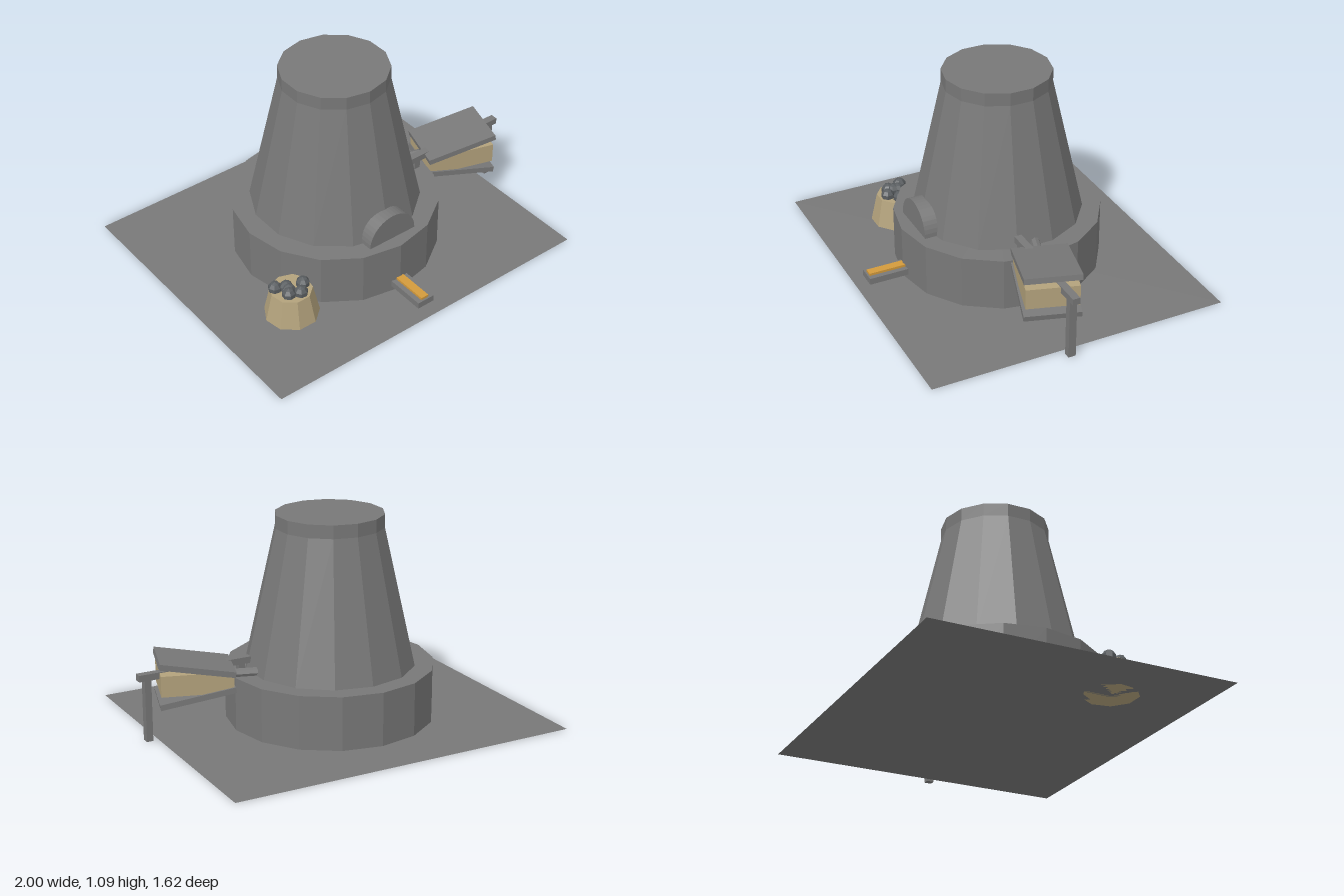
import * as THREE from 'three';

const mat = (name, color, side = THREE.FrontSide) =>
  Object.assign(new THREE.MeshStandardMaterial({ color, flatShading: true, side }), { name });

export function createModel() {
  const model = new THREE.Group();
  model.name = 'smeltingFurnace';
  const stone = mat('stone grey', 0x787878);
  const ground = mat('ground grey', 0x787878, THREE.DoubleSide);
  const tan = mat('tan leather', 0xb3a27c);
  const coal = mat('charcoal', 0x5a5e61);
  const gold = mat('molten gold', 0xd39a3c);

  const add = (name, geometry, material, x, y, z, parent = model) => {
    const mesh = new THREE.Mesh(geometry, material);
    mesh.name = name;
    mesh.position.set(x, y, z);
    parent.add(mesh);
    return mesh;
  };
  const box = (name, w, h, d, material, x, y, z, parent) =>
    add(name, new THREE.BoxGeometry(w, h, d), material, x, y, z, parent);

  // Ground sheet
  add('ground', new THREE.PlaneGeometry(1.9, 1.62).rotateX(-Math.PI / 2), ground, -0.05, 0, 0);

  // Furnace: wide plinth, tapering stack and straight collar
  const fx = -0.05;
  add('plinth', new THREE.CylinderGeometry(0.55, 0.55, 0.285, 16), stone, fx, 0.1425, 0);
  add('stack', new THREE.CylinderGeometry(0.285, 0.45, 0.735, 14), stone, fx, 0.6525, 0);
  add('collar', new THREE.CylinderGeometry(0.285, 0.285, 0.07, 14), stone, fx, 1.055, 0);

  // Arched door in the front of the stack
  const arch = new THREE.Shape();
  arch.absarc(0, 0, 0.145, 0, Math.PI, false);
  arch.closePath();
  add('archedDoor', new THREE.ExtrudeGeometry(arch, { depth: 0.12, bevelEnabled: false, curveSegments: 10 }),
    stone, fx, 0.288, 0.36);

  // Tapping channel with a stream of metal
  box('channel', 0.1, 0.035, 0.23, stone, fx, 0.0475, 0.64);
  box('metalStream', 0.045, 0.014, 0.22, gold, fx, 0.071, 0.635);

  // Bellows turned towards the stack
  const bellows = new THREE.Group();
  bellows.name = 'bellows';
  bellows.position.set(0.685, 0.3, 0.092);
  bellows.rotation.y = -0.3;
  model.add(bellows);
  box('bellowsBody', 0.37, 0.11, 0.27, tan, 0, 0, 0, bellows);
  for (const s of [1, -1]) {
    const board = box(s > 0 ? 'upperBoard' : 'lowerBoard', 0.39, 0.03, 0.29, stone, 0, s * 0.074, 0, bellows);
    board.rotation.z = s * 0.175;
  }
  const nozzle = add('nozzle', new THREE.CylinderGeometry(0.025, 0.025, 0.2, 8), stone, -0.27, 0, 0, bellows);
  nozzle.rotation.z = Math.PI / 2;

  // Frame carrying the bellows
  box('frameBar', 0.62, 0.035, 0.04, stone, 0.685, 0.342, 0.092);
  for (const x of [0.425, 0.948]) box('framePost', 0.035, 0.345, 0.04, stone, x, 0.1725, 0.092);

  // Basket heaped with charcoal
  add('basket', new THREE.CylinderGeometry(0.11, 0.144, 0.155, 9).rotateY(Math.PI), tan, -0.597, 0.0775, 0.35);
  const lumps = [[-0.665, 0.305], [-0.617, 0.335], [-0.532, 0.36], [-0.637, 0.385], [-0.58, 0.41], [-0.62, 0.36]];
  lumps.forEach(([x, z], i) => {
    const lump = add('charcoalLump', new THREE.SphereGeometry(0.037, 7, 5), coal, x, 0.166, z);
    lump.rotation.y = i * 0.7;
  });
  return model;
}
